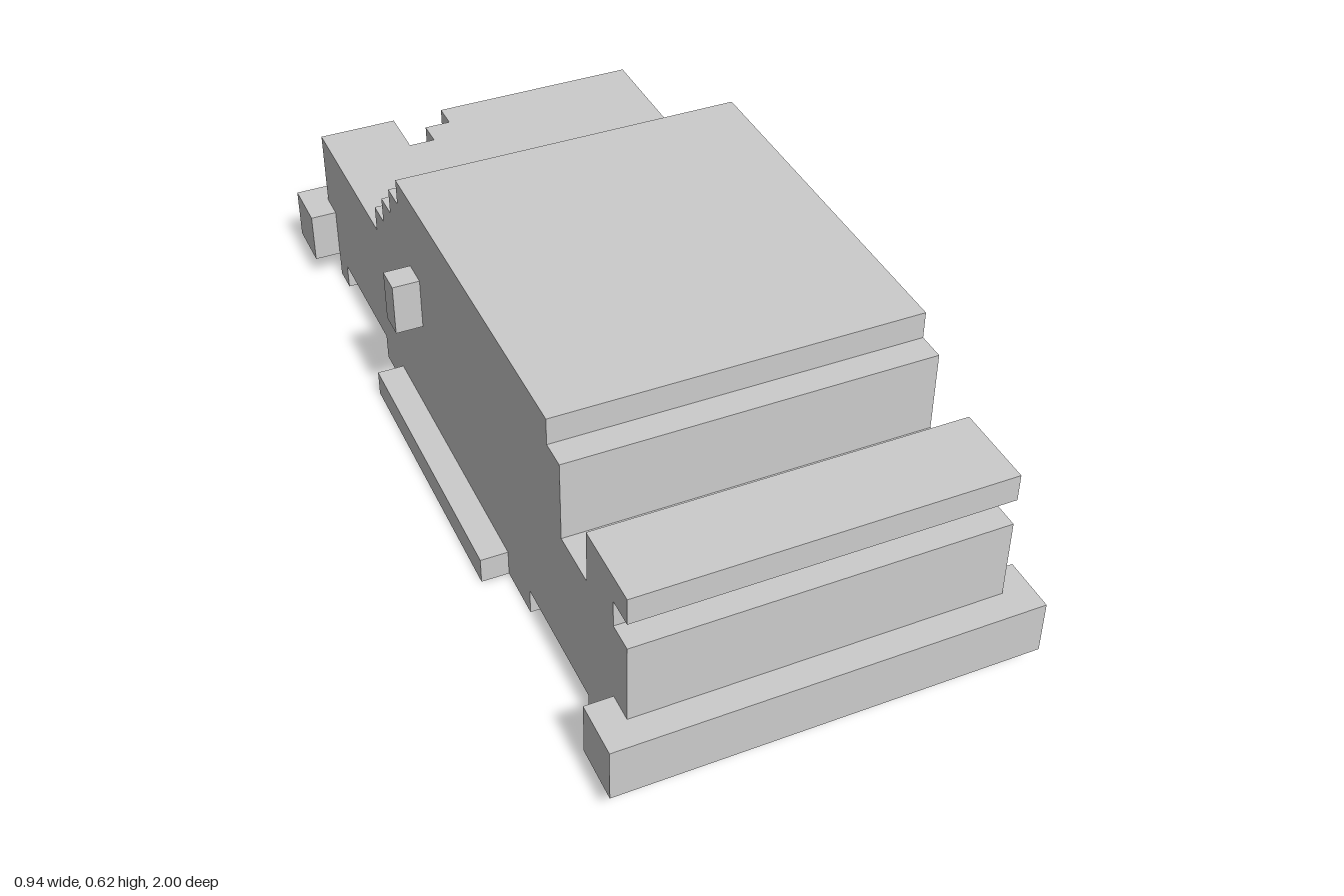
import * as THREE from 'three';

// Everything sits on a block grid of this size
const U = 1 / 16;

export function createModel() {
  const model = new THREE.Group();
  const material = new THREE.MeshStandardMaterial({ color: 0xcccccc, flatShading: true });

  const add = (name, geometry) => {
    const mesh = new THREE.Mesh(geometry, material);
    mesh.name = name;
    model.add(mesh);
  };

  // Box from its limits in grid units
  const box = (name, x0, x1, y0, y1, z0, z1) => {
    const g = new THREE.BoxGeometry((x1 - x0) * U, (y1 - y0) * U, (z1 - z0) * U);
    g.translate((x0 + x1) * U / 2, (y0 + y1) * U / 2, (z0 + z1) * U / 2);
    add(name, g);
  };

  const extrude = (points, depth) => new THREE.ExtrudeGeometry(
    new THREE.Shape(points.map(([a, b]) => new THREE.Vector2(a * U, b * U))),
    { depth: depth * U, bevelEnabled: false });

  // Side outline (z, y) swept across x
  const sweep = (name, points, width) =>
    add(name, extrude(points, width).rotateY(-Math.PI / 2).translate(width * U / 2, 0, 0));

  // Floor outline (x, z) raised from y0 to y1
  const raise = (name, points, y0, y1) =>
    add(name, extrude(points.map(([x, z]) => [x, -z]), y1 - y0)
      .rotateX(-Math.PI / 2).translate(0, y0 * U, 0));

  // Main body with stepped rear window and stepped windscreen
  sweep('body', [
    [-13, 1], [15, 1], [15, 6], [10, 6], [10, 9], [9, 9], [9, 10],
    [-5, 10], [-5, 9], [-6, 9], [-6, 8], [-7, 8], [-7, 7], [-8, 7], [-8, 6], [-13, 6],
  ], 13);

  // Tail with a stepped vertical slot
  raise('tail', [
    [-6.5, -13], [-6.5, -15], [-3.5, -15], [-3.5, -13], [-2.5, -13], [-2.5, -14],
    [-1.5, -14], [-1.5, -15], [6.5, -15], [6.5, -13],
  ], 1, 6);

  // Underside with side skirts and recesses at the wheels
  const edge = [
    [6.5, 13], [6.5, 12], [5.5, 12], [5.5, 7], [6.5, 7], [6.5, 5], [7.5, 5],
    [7.5, -6], [6.5, -6], [6.5, -8], [5.5, -8], [5.5, -13], [6.5, -13], [6.5, -14],
  ];
  raise('underside', [...edge, ...edge.map(([x, z]) => [-x, z]).reverse()], 0, 1);

  // Bumpers, the rear one broken by the slot
  box('frontBumper', -7.5, 7.5, 1, 3, 14, 16);
  box('rearBumperLeft', -0.5, 7.5, 1, 3, -16, -14);
  box('rearBumperRight', -7.5, -4.5, 1, 3, -16, -14);

  // Raised bar over the nose
  box('noseBar', -6.5, 6.5, 7, 8, 12, 15);

  // Bar supports and mirrors on both sides
  for (const [side, s] of [['Left', 1], ['Right', -1]]) {
    box('barSupport' + side, s * 6 - 0.5, s * 6 + 0.5, 6, 7, 12, 14);
    box('mirror' + side, s * 7 - 0.5, s * 7 + 0.5, 5, 7, -4, -3);
  }

  return model;
}
